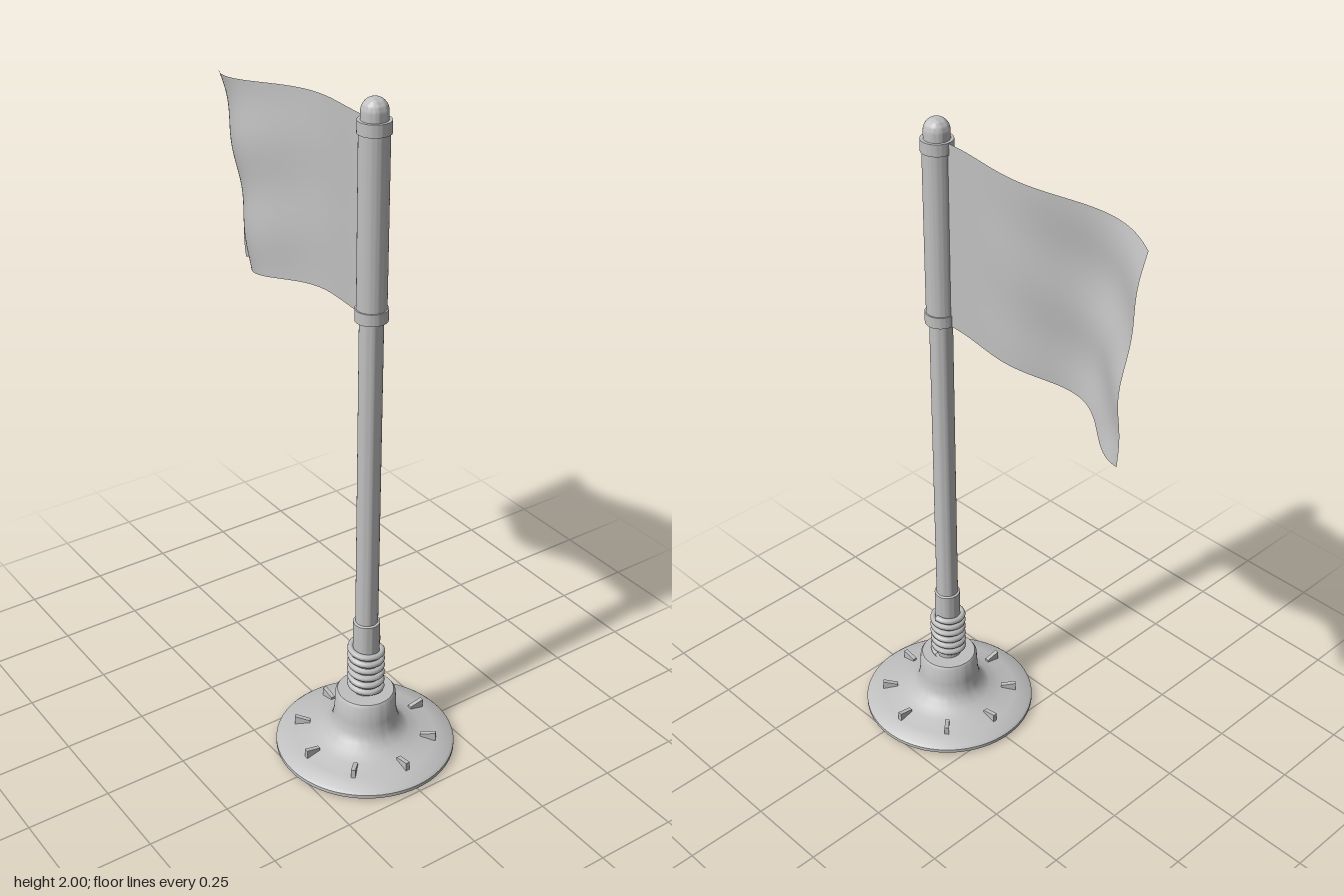
import * as THREE from 'three';
import { toCreasedNormals } from 'three/addons/utils/BufferGeometryUtils.js';

const POLE_Z = 0.227;

export function createModel() {
  const root = new THREE.Group();
  root.name = 'flagOnStand';
  const grey = new THREE.MeshStandardMaterial({ color: 0xc0c0c0, side: THREE.DoubleSide });
  grey.name = 'light grey';

  const stand = new THREE.Group();
  stand.name = 'stand';
  stand.position.z = POLE_Z;
  root.add(stand);

  const add = (parent, name, geometry) => {
    const mesh = new THREE.Mesh(geometry, grey);
    mesh.name = name;
    parent.add(mesh);
    return mesh;
  };
  const turned = (name, points, segments = 48) => {
    const profile = points.map(([r, y]) => new THREE.Vector2(r, y));
    return add(stand, name, toCreasedNormals(new THREE.LatheGeometry(profile, segments), 0.6));
  };

  // Flared base with a raised socket
  turned('base', [
    [0, 0], [0.258, 0], [0.266, 0.007], [0.266, 0.018], [0.258, 0.025], [0.21, 0.035],
    [0.165, 0.046], [0.13, 0.058], [0.108, 0.075], [0.097, 0.098], [0.092, 0.13],
    [0.089, 0.188], [0.083, 0.197], [0, 0.197],
  ], 72);

  // Eight small wedge ribs around the base
  const wedge = new THREE.Shape([
    new THREE.Vector2(0.167, 0.035), new THREE.Vector2(0.213, 0.028),
    new THREE.Vector2(0.213, 0.062), new THREE.Vector2(0.167, 0.053),
  ]);
  const ribGeometry = new THREE.ExtrudeGeometry(wedge, { depth: 0.013, bevelEnabled: false });
  ribGeometry.translate(0, 0, -0.0065);
  for (let i = 0; i < 8; i++) {
    add(stand, 'baseRib', ribGeometry).rotation.y = (i * Math.PI) / 4;
  }

  // Coil spring around the foot of the pole
  const turns = 6;
  const coil = [];
  for (let i = 0; i <= turns * 16; i++) {
    const a = (i / 16) * Math.PI * 2;
    coil.push(new THREE.Vector3(
      0.046 * Math.cos(a), 0.207 + (0.15 * i) / (turns * 16), 0.046 * Math.sin(a)));
  }
  add(stand, 'spring', new THREE.TubeGeometry(new THREE.CatmullRomCurve3(coil), turns * 32, 0.0095, 8));

  // Pole, its foot collar and the rounded tip
  turned('collar', [[0, 0.19], [0.039, 0.19], [0.039, 0.44], [0.033, 0.443], [0, 0.443]]);
  turned('pole', [[0.033, 0.43], [0.033, 1.95]]);
  const tip = [[0.036, 1.93], [0.036, 1.964]];
  for (let i = 1; i <= 8; i++) {
    const a = (i / 8) * Math.PI / 2;
    tip.push([0.036 * Math.cos(a), 1.964 + 0.036 * Math.sin(a)]);
  }
  turned('poleTip', tip);

  // Flag sleeve with a band at each end
  turned('sleeve', [[0.033, 1.405], [0.041, 1.405], [0.041, 1.935], [0.033, 1.935]]);
  for (const y of [1.4, 1.908]) {
    turned('sleeveBand', [[0.033, y], [0.045, y], [0.045, y + 0.034], [0.033, y + 0.034]]);
  }

  // Waving cloth: u runs away from the pole, v runs upwards
  const cloth = new THREE.PlaneGeometry(1, 1, 64, 40);
  const p = cloth.attributes.position;
  for (let i = 0; i < p.count; i++) {
    const u = p.getX(i) + 0.5;
    const v = p.getY(i) + 0.5;
    const top = 1.94 - 0.055 * u * u;
    const bottom = 1.4 - 0.095 * u * u;
    const wave = 0.07 * Math.pow(u, 1.1) * Math.sin(6.2 * u + 2 * u * u * (1 - v));
    const ripple = 0.008 * u * u * Math.sin(13 * v + 3 * u);
    p.setXYZ(i, wave + ripple, bottom + (top - bottom) * v, 0.19 - 0.687 * u);
  }
  cloth.computeVertexNormals();
  add(root, 'flag', cloth);

  return root;
}
